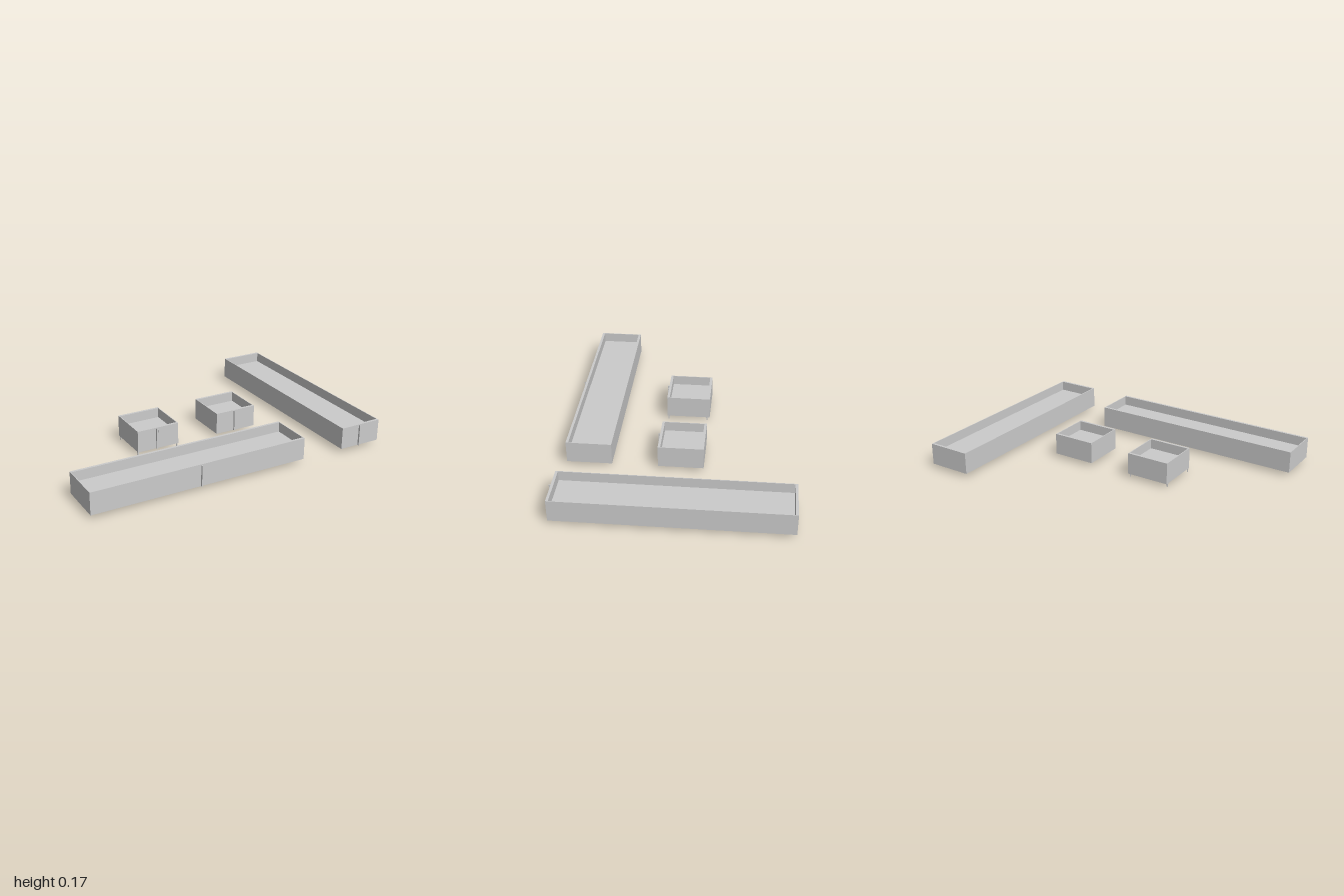
import * as THREE from 'three';

const grey = new THREE.MeshStandardMaterial({ color: 0xcccccc, flatShading: true });

// Box given by its minimum and maximum corners
function block(name, [x0, y0, z0], [x1, y1, z1]) {
  const mesh = new THREE.Mesh(new THREE.BoxGeometry(x1 - x0, y1 - y0, z1 - z0), grey);
  mesh.name = name;
  mesh.position.set((x0 + x1) / 2, (y0 + y1) / 2, (z0 + z1) / 2);
  return mesh;
}

const BOTTOM = 0.025, FLOOR = 0.103, TOP = 0.167;
const END = 0.016, SIDE = 0.005;

// Open planter: raised floor, thick front and back boards, thin side boards
function planter(name, x0, x1, z0, z1) {
  const g = new THREE.Group();
  g.name = name;
  const cx = (x0 + x1) / 2;
  g.add(
    block('floor', [x0 + SIDE, BOTTOM, z0 + END], [x1 - SIDE, FLOOR, z1 - END]),
    block('backBoard', [x0, BOTTOM, z0], [x1, TOP, z0 + END]),
    block('frontBoard', [x0, BOTTOM, z1 - END], [x1, TOP, z1]),
    block('rightBoard', [x0, BOTTOM, z0 + END], [x0 + SIDE, TOP, z1 - END]),
    block('leftBoard', [x1 - SIDE, BOTTOM, z0 + END], [x1, TOP, z1 - END]),
    // Thin upright batten just off the middle of the front
    block('frontBatten', [cx - 0.015, BOTTOM, z1], [cx - 0.011, 0.163, z1 + 0.012])
  );
  return g;
}

// Small foot: mounting plate over a slim post
function foot(x, z) {
  const g = new THREE.Group();
  g.name = 'foot';
  g.add(
    block('footPlate', [x - 0.005, 0.019, z - 0.005], [x + 0.005, BOTTOM, z + 0.005]),
    block('footPost', [x - 0.003, 0, z - 0.003], [x + 0.003, 0.019, z + 0.003])
  );
  return g;
}

export function createModel() {
  const model = new THREE.Group();
  model.name = 'planterSet';

  const footed = planter('footedSquarePlanter', -0.43, -0.145, -0.152, 0.133);
  for (const x of [-0.425, -0.151])
    for (const z of [-0.133, 0.122]) footed.add(foot(x, z));
  // Small catch beside the batten
  footed.add(block('catch', [-0.29, 0.135, 0.133], [-0.283, 0.15, 0.141]));

  model.add(
    planter('longFrontPlanter', -1, 0.425, 0.421, 0.706),
    planter('longSidePlanter', 0.715, 1, -0.722, 0.708),
    planter('squarePlanter', 0.14, 0.425, -0.152, 0.133),
    footed
  );
  return model;
}
